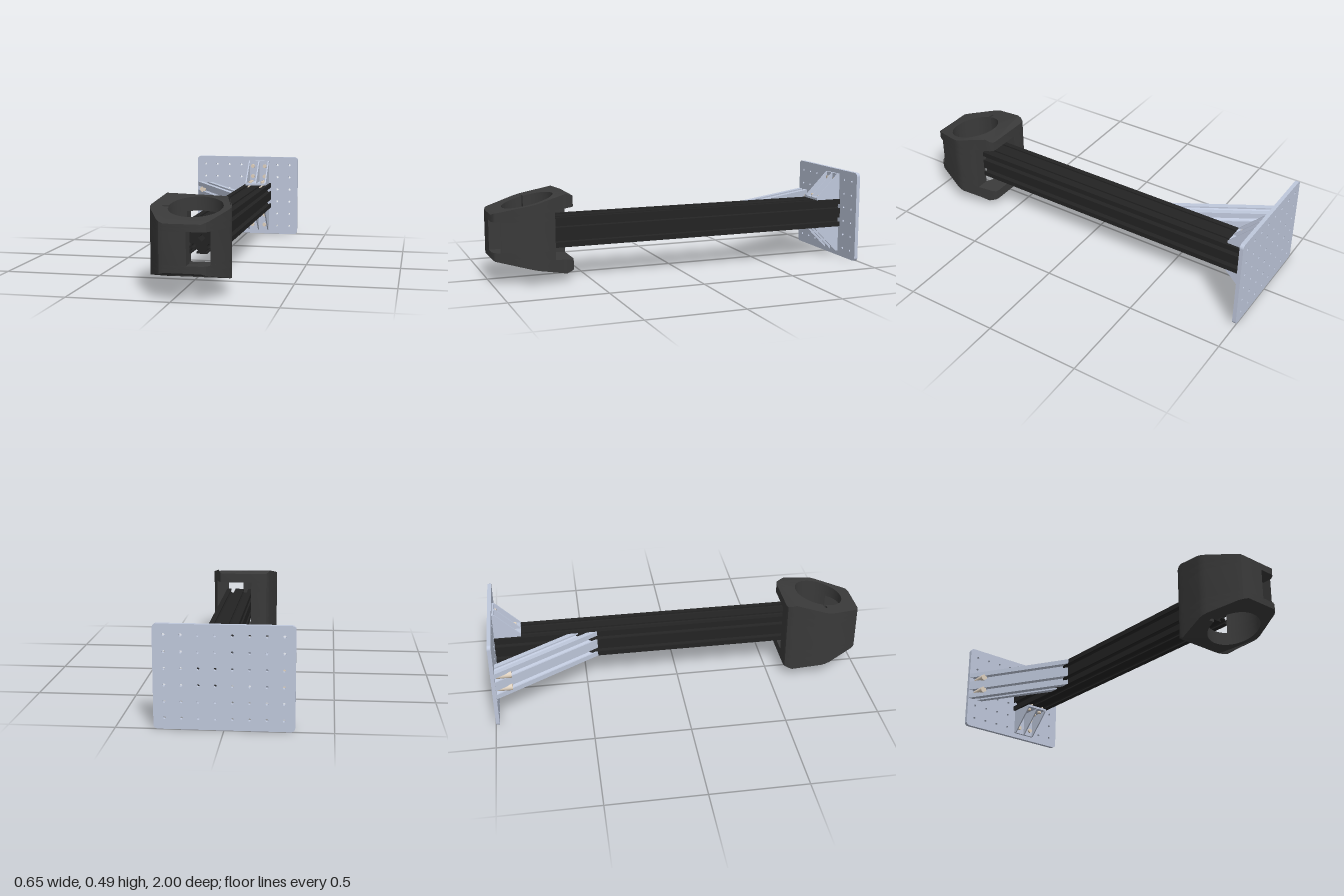
import * as THREE from 'three';
import { toCreasedNormals } from 'three/addons/utils/BufferGeometryUtils.js';

const mat = (color) => new THREE.MeshStandardMaterial({ color });
const steel = mat(0xbfc8dc), black = mat(0x232323), shell = mat(0x3a3a3a), brass = mat(0xe0d2c0);
const CELL = 0.0775;            // one slot pitch of the rail profile
const CX = CELL, CY = 0.247;    // rail axis

function add(parent, name, geometry, material, x = 0, y = 0, z = 0) {
  const m = new THREE.Mesh(geometry, material);
  m.name = name;
  m.position.set(x, y, z);
  parent.add(m);
  return m;
}
const circle = (x, y, r) => new THREE.Path().absarc(x, y, r, 0, Math.PI * 2, true);
const extrude = (shape, depth) =>
  new THREE.ExtrudeGeometry(shape, { depth, bevelEnabled: false, curveSegments: 10 });

// Slotted rail cross-section, nx by ny cells, lower corner at the origin
function railShape(nx, ny) {
  const w = nx * CELL, h = ny * CELL, pts = [];
  const slot = [[-0.0125, 0], [-0.0125, 0.008], [-0.021, 0.008], [-0.021, 0.013], [-0.01, 0.024]];
  const full = [...slot, ...slot.map(([a, d]) => [-a, d]).reverse()];
  const sides = [[0, 0, 1, 0, nx], [w, 0, 0, 1, ny], [w, h, -1, 0, nx], [0, h, 0, -1, ny]];
  for (const [x, y, dx, dy, n] of sides) {
    pts.push(new THREE.Vector2(x, y));
    for (let i = 0; i < n; i++)
      for (const [a, d] of full) {
        const t = (i + 0.5) * CELL + a;
        pts.push(new THREE.Vector2(x + dx * t - dy * d, y + dy * t + dx * d));
      }
  }
  const s = new THREE.Shape(pts);
  for (let i = 0; i < nx; i++)
    for (let j = 0; j < ny; j++) s.holes.push(circle((i + 0.5) * CELL, (j + 0.5) * CELL, 0.01));
  return s;
}

// Wall plate with rounded corners and a grid of holes
function plate() {
  const w = 0.323, h = 0.492, r = 0.02, s = new THREE.Shape();
  s.absarc(w - r, r, r, -Math.PI / 2, 0);
  s.absarc(w - r, h - r, r, 0, Math.PI / 2);
  s.absarc(-w + r, h - r, r, Math.PI / 2, Math.PI);
  s.absarc(-w + r, r, r, Math.PI, Math.PI * 1.5);
  for (let i = 0; i < 8; i++)
    for (let j = 0; j < 6; j++) s.holes.push(circle(-0.272 + i * 0.0777, 0.053 + j * 0.0777, 0.007));
  return extrude(s, 0.02);
}

// Diagonal strut: rail profile mitred against the plate and the rail side
function strut() {
  const g = extrude(railShape(1, 2), 1), p = g.attributes.position;
  const c = Math.cos(Math.PI / 6), s = 0.5;
  for (let i = 0; i < p.count; i++) {
    const u = p.getX(i), y = p.getY(i) + CY - CELL;
    if (p.getZ(i) < 0.5) p.setXYZ(i, -0.32 + u / c, y, -0.98);
    else p.setXYZ(i, 0, y, -0.434 - u / s);
  }
  return toCreasedNormals(g, 0.5);
}

// Angle bracket, local origin on the rail axis
function bracket() {
  const g = new THREE.Group();
  g.name = 'bracket';
  add(g, 'bracketFoot', new THREE.BoxGeometry(0.128, 0.012, 0.143), steel, 0, CELL + 0.006, -0.9085);
  add(g, 'bracketBack', new THREE.BoxGeometry(0.128, 0.143, 0.012), steel, 0, CELL + 0.0715, -0.974);
  const tri = new THREE.Shape([[0.98, 0], [0.837, 0], [0.837, 0.014], [0.966, 0.143], [0.98, 0.143]]
    .map(([x, y]) => new THREE.Vector2(x, y)));
  const rib = extrude(tri, 0.007).rotateY(-Math.PI / 2).scale(1, 1, 1);
  rib.rotateY(Math.PI).translate(0, CELL, 0);
  rib.computeBoundingBox();
  const mid = (rib.boundingBox.min.x + rib.boundingBox.max.x) / 2;
  for (const x of [-0.0605, 0, 0.0605]) add(g, 'bracketRib', rib, steel, x - mid, 0, 0);
  const head = new THREE.CylinderGeometry(0.012, 0.012, 0.012, 16);
  for (const x of [-0.038, 0.038]) {
    for (const z of [-0.925, -0.87]) {
      add(g, 'footBolt', head, brass, x, CELL + 0.017, z);
      add(g, 'slotNut', new THREE.BoxGeometry(0.034, 0.009, 0.03), brass, x, CELL - 0.0125, z);
    }
    for (const y of [0.045, 0.11])
      add(g, 'backBolt', head, brass, x, CELL + y, -0.963).rotation.x = Math.PI / 2;
  }
  return g;
}

// Clamp housing: layered plan sections (x, z) with sloped top and bottom
function housing() {
  const g = new THREE.Group();
  g.name = 'housing';
  const left = [[-0.07, 0.585], [-0.09, 0.59], [-0.103, 0.61], [-0.107, 0.63], [-0.143, 0.785], [-0.143, 0.805],
    [-0.137, 0.83], [-0.07, 0.97], [-0.055, 0.99], [-0.03, 1]];
  const right = [[0.145, 1], [0.165, 0.99], [0.175, 0.975], [0.237, 0.825], [0.244, 0.8], [0.243, 0.78], [0.215, 0.69]];
  const rear = [[0.2, 0.63], [0.195, 0.61], [0.185, 0.59], [0.165, 0.585]];
  const arc = (a, b) => {
    const n = Math.max(3, Math.ceil(Math.abs(b - a) / 0.12)), out = [];
    for (let i = 0; i <= n; i++) {
      const t = a + (b - a) * i / n;
      out.push([0.075 + 0.13 * Math.cos(t), 0.8 + 0.13 * Math.sin(t)]);
    }
    return out;
  };
  // bore wall from angle a to b, with the narrow key slit on its -x side
  const bore = (a, b) => [...arc(a, Math.PI - 0.06), [-0.085, 0.808], [-0.085, 0.792], ...arc(Math.PI + 0.06, b)];
  const vec = (pts) => pts.map(([x, z]) => new THREE.Vector2(x, -z));
  const A = -1.009, B = Math.PI + 1.009;   // where the bore breaks into the rail pocket

  const ring = new THREE.Shape(vec([...left, ...right, ...rear]));
  ring.holes.push(new THREE.Path(vec(bore(A, Math.PI * 2 + A - 0.1))));
  const pocket = new THREE.Shape(vec([[0, 0.585], ...left, ...right, ...bore(A, B), [0, 0.69]]));
  const windowLeft = new THREE.Shape(vec([[0, 0.585], ...left, [0.075, 1], ...bore(Math.PI / 2, B), [0, 0.69]]));
  const windowRight = new THREE.Shape(vec([[0.18, 0.962], ...right.slice(3), ...arc(A, 0.631)]));

  const outer = (z) => Math.min(0.205 - 0.234 * (z - 0.63), 0.205 - 0.35 * (0.63 - z)) - (z > 0.995 ? 0.006 : 0);
  const inner = (z) => 0.13 - 0.1 * (z - 0.65);
  const win = () => CELL;
  const layer = (name, shape, lo, hi) => {
    const geo = extrude(shape, 1).rotateX(-Math.PI / 2), p = geo.attributes.position;
    for (let i = 0; i < p.count; i++) {
      const z = p.getZ(i), l = lo(z);
      p.setY(i, CY + l + (hi(z) - l) * p.getY(i));
    }
    add(g, name, toCreasedNormals(geo, 0.5), shell);
  };
  const neg = (f) => (z) => -f(z);
  layer('topRing', ring, inner, outer);
  layer('bottomRing', ring, neg(outer), neg(inner));
  layer('upperWall', pocket, win, inner);
  layer('lowerWall', pocket, neg(inner), neg(win));
  layer('windowLeftWall', windowLeft, neg(win), win);
  layer('windowRightWall', windowRight, neg(win), win);
  return g;
}

export function createModel() {
  const model = new THREE.Group();
  add(model, 'wallPlate', plate(), steel, 0, 0, -1);

  // Main rail with a hollow core
  const rail = railShape(2, 2);
  rail.holes.push(new THREE.Path([[0.018, 0], [0, 0.018], [-0.018, 0], [0, -0.018]]
    .map(([x, y]) => new THREE.Vector2(CELL + x, CELL + y))));
  add(model, 'rail', toCreasedNormals(extrude(rail, 1.67), 0.5), black, CX - CELL, CY - CELL, -0.98);

  // Strut and its bolts
  add(model, 'strut', strut(), steel);
  for (const y of [-CELL / 2, CELL / 2]) {
    add(model, 'strutBolt', new THREE.CylinderGeometry(0.018, 0.018, 0.085, 20), brass, -0.273, CY + y, -0.9375)
      .rotation.x = Math.PI / 2;
  }

  // Brackets above and below the rail
  for (const turn of [0, Math.PI]) {
    const b = bracket();
    b.position.set(CX, CY, 0);
    b.rotation.z = turn;
    model.add(b);
  }
  model.add(housing());
  return model;
}
